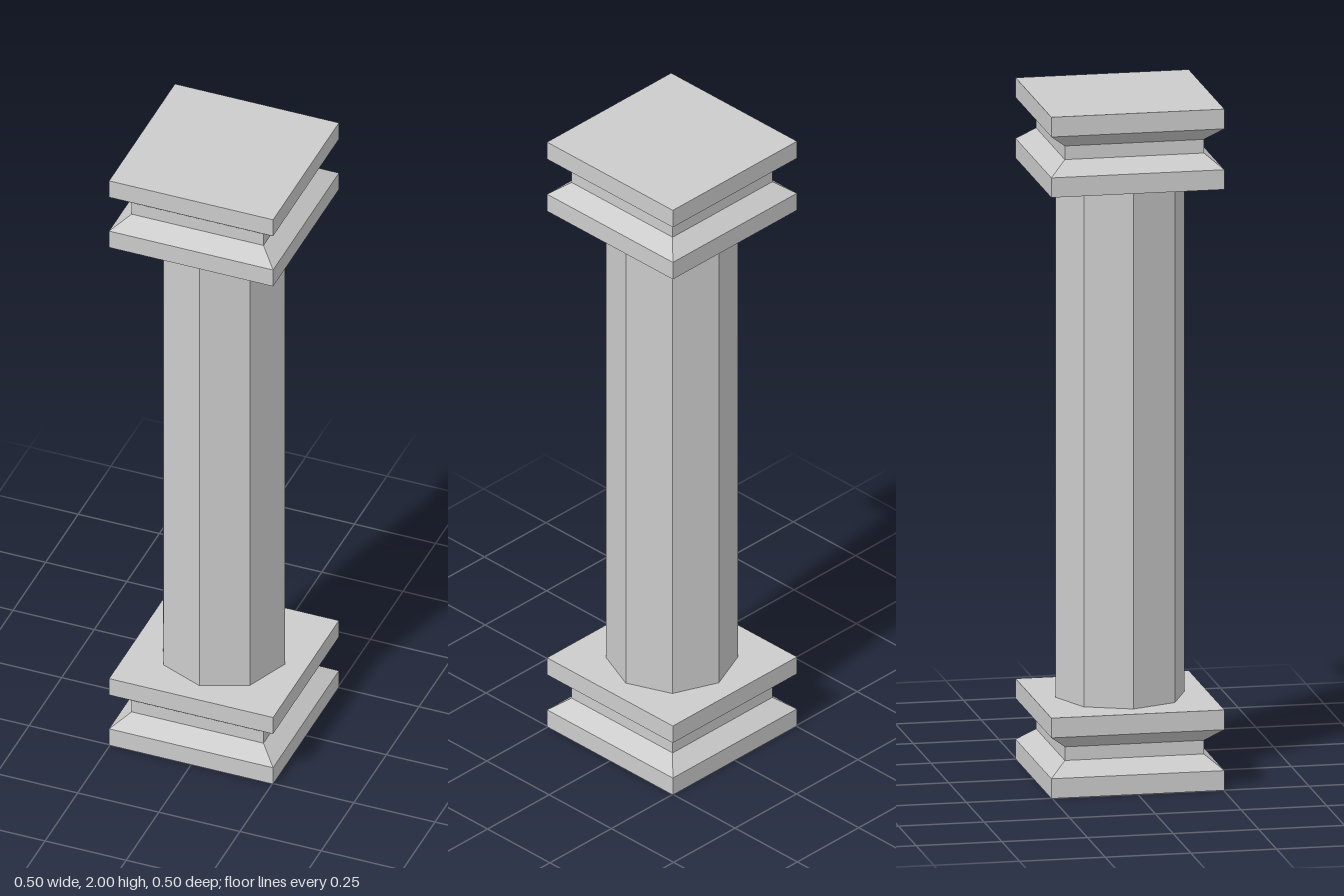
import * as THREE from 'three';

const HEIGHT = 2;
const BLOCK_HEIGHT = 0.236;
const material = new THREE.MeshStandardMaterial({ color: 0xcccccc, flatShading: true });

// Faceted mesh with hard edges
function facetedMesh(name, geometry) {
  const flat = geometry.toNonIndexed();
  flat.computeVertexNormals();
  const mesh = new THREE.Mesh(flat, material);
  mesh.name = name;
  return mesh;
}

// Square moulded block: two slabs joined by a chamfered waist
function mouldedBlock(name, y) {
  const outer = 0.2525, waist = 0.203;
  const profile = [
    [0, 0], [outer, 0], [outer, 0.058], [waist, 0.098],
    [waist, 0.138], [outer, 0.178], [outer, BLOCK_HEIGHT], [0, BLOCK_HEIGHT],
  ].map(([half, h]) => new THREE.Vector2(half * Math.SQRT2, h));
  const geometry = new THREE.LatheGeometry(profile, 4);
  geometry.rotateY(Math.PI / 4);
  const block = facetedMesh(name, geometry);
  block.position.y = y;
  return block;
}

export function createModel() {
  const column = new THREE.Group();
  column.name = 'column';

  // Base and matching capital
  column.add(mouldedBlock('base', 0));
  column.add(mouldedBlock('capital', HEIGHT - BLOCK_HEIGHT));

  // Octagonal shaft with corners on the axes
  const shaftHeight = HEIGHT - 2 * BLOCK_HEIGHT;
  const shaft = facetedMesh('shaft', new THREE.CylinderGeometry(0.188, 0.188, shaftHeight, 8, 1, true));
  shaft.position.y = HEIGHT / 2;
  column.add(shaft);

  return column;
}
